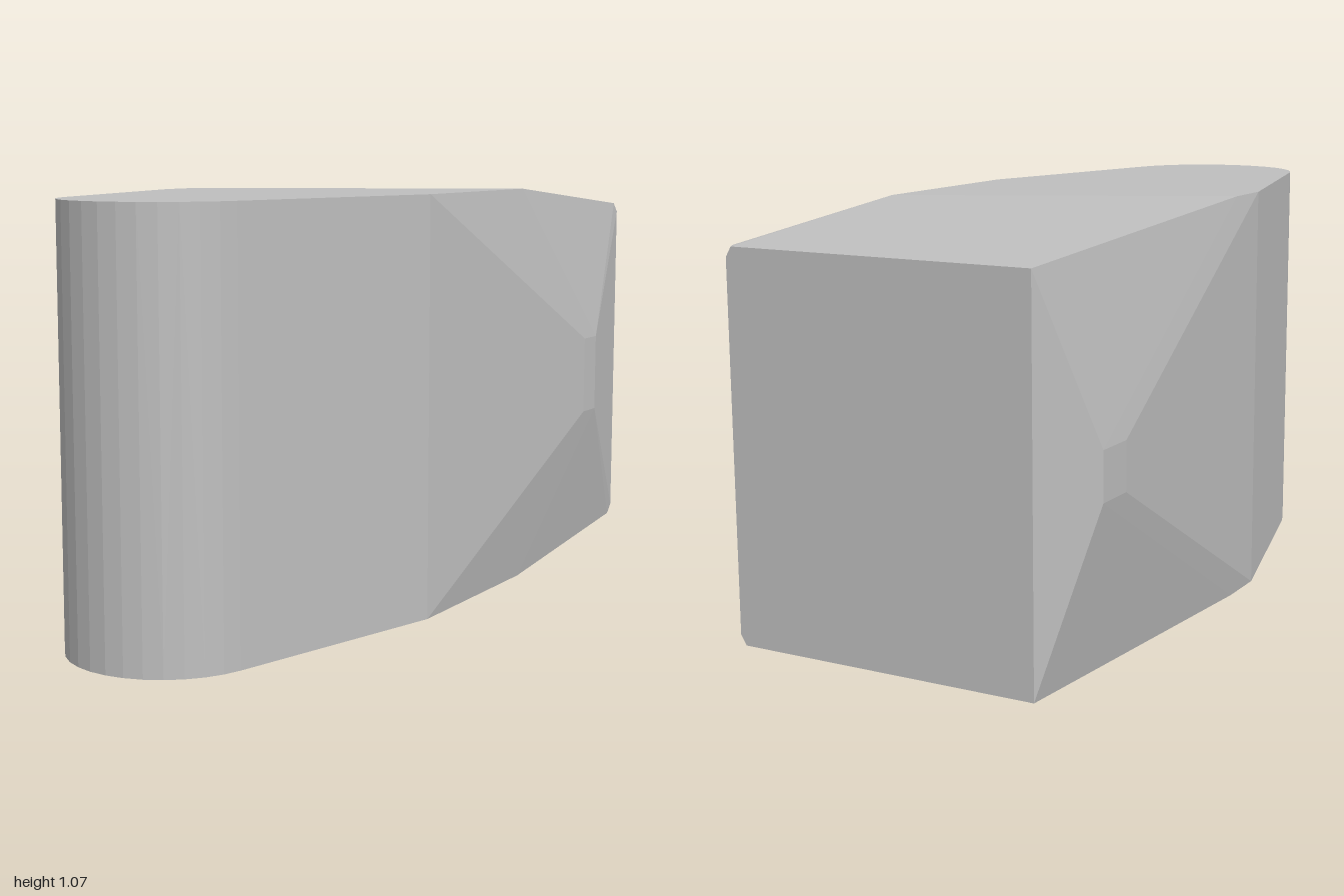
import * as THREE from 'three';
import { ConvexGeometry } from 'three/addons/geometries/ConvexGeometry.js';

const H = 1.07;

export function createModel() {
  const grey = new THREE.MeshStandardMaterial({ color: 0xbfbfbf, flatShading: true });
  grey.name = 'plain grey';

  const points = [];
  // adds a point and its copy mirrored about mid height
  const pair = (x, y, z) => {
    points.push(new THREE.Vector3(x, y, z), new THREE.Vector3(x, H - y, z));
  };

  // rounded nose
  const segments = 14;
  const start = THREE.MathUtils.degToRad(14);
  for (let i = 0; i <= segments; i++) {
    const a = start + (Math.PI - 2 * start) * i / segments;
    pair(0.25 * Math.cos(a), H, 0.75 + 0.25 * Math.sin(a));
  }

  // shoulders, and the edges where top and bottom begin to taper
  pair(0.4, H, 0.2);
  pair(-0.4, H, 0.2);
  pair(0.4, H, -0.33);
  pair(-0.4, H, 0.06);

  // back corners: one sharp, one slightly bevelled
  pair(-0.4, 1.01, -1);
  pair(0.385, 1.01, -1);
  pair(0.4, 0.985, -1);
  pair(0.4, 1.01, -0.975);

  // small flat facets at the peak of each bulging side
  for (const z of [-0.61, -0.69]) pair(0.47, 0.64, z);
  for (const z of [-0.71, -0.82]) pair(-0.475, 0.595, z);

  const body = new THREE.Mesh(new ConvexGeometry(points), grey);
  body.name = 'facetedBody';

  const group = new THREE.Group();
  group.name = 'facetedBlock';
  group.add(body);
  return group;
}
